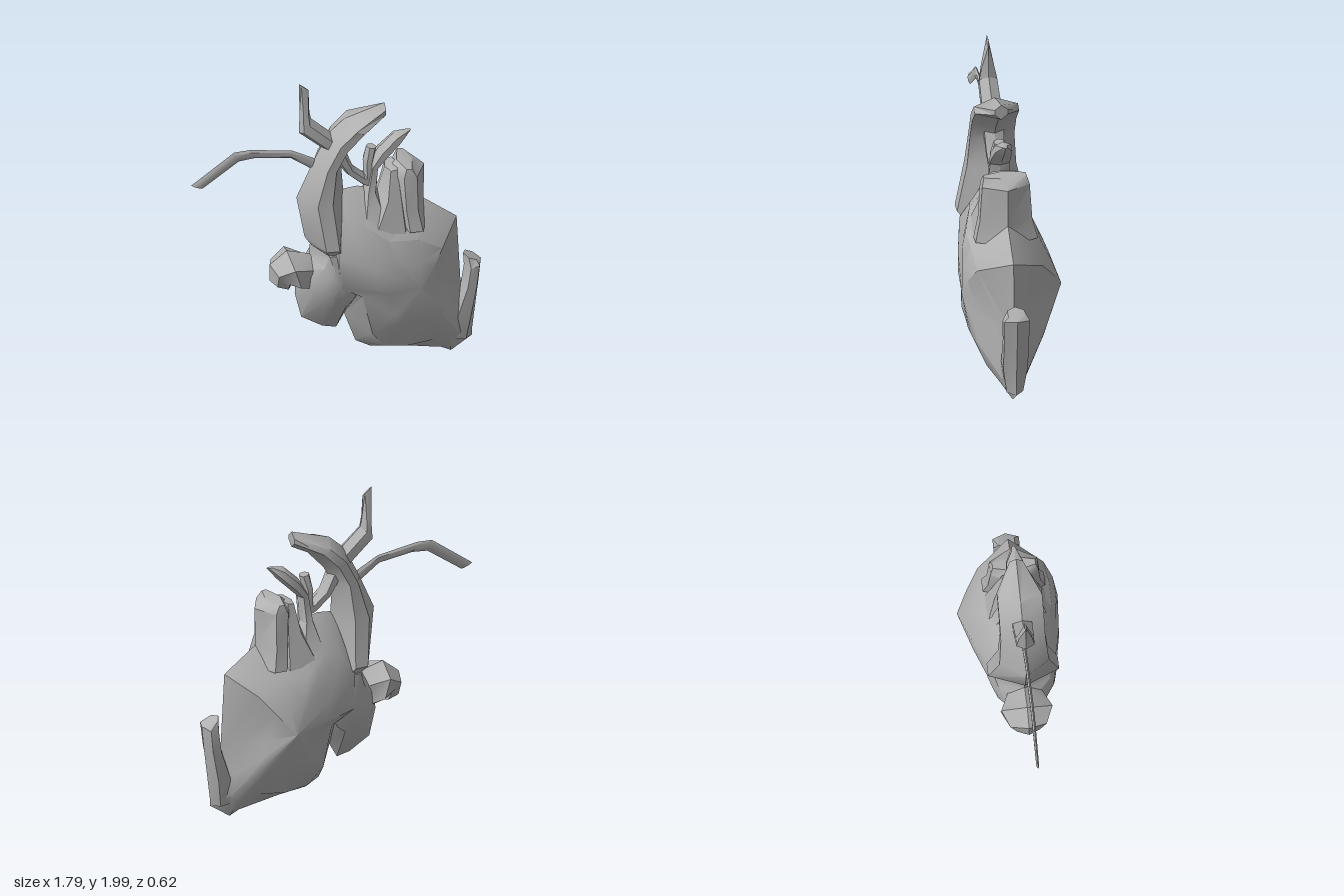
import * as THREE from 'three';
import { toCreasedNormals } from 'three/addons/utils/BufferGeometryUtils.js';

const grey = new THREE.MeshStandardMaterial({ color: 0xb0b0b0 });
grey.name = 'grey';

// Closed mesh from points and triangles, turned to face outwards
function solid(name, pts, tris, crease) {
  let volume = 0;
  const v = pts.map(p => new THREE.Vector3(...p));
  for (const [a, b, c] of tris) volume += v[a].dot(v[b].clone().cross(v[c]));
  const index = tris.flatMap(([a, b, c]) => (volume < 0 ? [a, c, b] : [a, b, c]));
  const geo = new THREE.BufferGeometry();
  geo.setAttribute('position', new THREE.Float32BufferAttribute(pts.flat(), 3));
  geo.setIndex(index);
  const mesh = new THREE.Mesh(toCreasedNormals(geo, crease), grey);
  mesh.name = name;
  return mesh;
}

// Two-sided bulge: each row is rim x, y then shoulder x, y, depth.
// A dome ring between shoulder and peak rounds each side.
function bulge(name, rows, frontPeak, backPeak) {
  const n = rows.length, tris = [];
  const mix = THREE.MathUtils.lerp;
  const pts = rows.map(r => [r[0], r[1], 0]);
  for (const [peak, side, ease] of [[frontPeak, 1, 0.67], [backPeak, -1, 0.5]]) {
    const s = pts.length;
    pts.push(...rows.map(r => [r[2], r[3], r[4] * side]));
    pts.push(...rows.map(r => [
      mix(r[2], peak[0], 0.45), mix(r[3], peak[1], 0.45), mix(r[4] * side, peak[2], ease)]));
    pts.push(peak);
    for (let i = 0; i < n; i++) {
      const j = (i + 1) % n;
      const strip = [
        [i, j, s + j], [i, s + j, s + i],
        [s + i, s + j, s + n + j], [s + i, s + n + j, s + n + i],
        [s + n + i, s + n + j, s + 2 * n],
      ];
      tris.push(...strip.map(([a, b, c]) => (side > 0 ? [a, b, c] : [a, c, b])));
    }
  }
  return solid(name, pts, tris, 0.6);
}

// Six-sided vessel: each row is one edge x, y, the other edge x, y, then half depth
function vessel(name, rows, inset = 0.25) {
  const section = [[0, 0], [inset, 1], [1 - inset, 1], [1, 0], [1 - inset, -1], [inset, -1]];
  const pts = rows.flatMap(([ax, ay, bx, by, d]) =>
    section.map(([t, s]) => [ax + (bx - ax) * t, ay + (by - ay) * t, s * d]));
  const tris = [];
  for (let k = 0; k < rows.length - 1; k++) {
    for (let i = 0; i < 6; i++) {
      const a = k * 6 + i, b = k * 6 + (i + 1) % 6;
      tris.push([a, b, b + 6], [a, b + 6, a + 6]);
    }
  }
  const e = (rows.length - 1) * 6;
  for (let i = 1; i < 5; i++) tris.push([0, i + 1, i], [e, e + i, e + i + 1]);
  return solid(name, pts, tris, 0.55);
}

export function createModel() {
  const heart = new THREE.Group();
  heart.name = 'heart';

  // Large lower chamber with its upper shoulder
  heart.add(bulge('ventricles', [
    [0.05, 0.36, 0.12, 0.57, 0.19],
    [0.12, 0.16, 0.18, 0.31, 0.195],
    [0.21, 0.11, 0.26, 0.18, 0.135],
    [0.38, 0.09, 0.40, 0.16, 0.135],
    [0.65, 0.04, 0.57, 0.18, 0.135],
    [0.71, 0.01, 0.68, 0.13, 0.08],
    [0.84, 0.10, 0.74, 0.17, 0.07],
    [0.84, 0.27, 0.71, 0.32, 0.09],
    [0.77, 0.47, 0.67, 0.51, 0.075],
    [0.745, 0.945, 0.61, 0.85, 0.20],
    [0.54, 1.10, 0.46, 0.94, 0.215],
    [0.28, 1.20, 0.28, 0.95, 0.215],
    [0.13, 1.24, 0.15, 1.04, 0.17],
    [0.03, 1.23, 0.05, 1.02, 0.15],
    [-0.10, 0.93, -0.03, 0.88, 0.20],
    [-0.10, 0.62, -0.02, 0.66, 0.205],
  ], [0.47, 0.63, 0.27], [0.42, 0.62, -0.345]));

  // Smaller side chamber
  heart.add(bulge('atrium', [
    [0.06, 0.38, 0.07, 0.54, 0.16],
    [0.00, 0.27, 0.02, 0.50, 0.165],
    [-0.085, 0.29, -0.05, 0.50, 0.165],
    [-0.215, 0.37, -0.11, 0.53, 0.155],
    [-0.255, 0.54, -0.17, 0.61, 0.13],
    [-0.25, 0.70, -0.17, 0.70, 0.13],
    [-0.165, 0.80, -0.11, 0.78, 0.16],
    [-0.16, 0.93, -0.08, 0.87, 0.18],
    [0.06, 0.94, 0.04, 0.87, 0.18],
    [0.17, 0.60, 0.11, 0.62, 0.17],
  ], [-0.02, 0.68, 0.21], [-0.02, 0.68, -0.21]));

  // Stub bending down from the side chamber
  heart.add(vessel('sideStub', [
    [-0.14, 0.80, -0.20, 0.56, 0.10],
    [-0.305, 0.845, -0.23, 0.60, 0.155],
    [-0.41, 0.76, -0.28, 0.64, 0.11],
    [-0.41, 0.65, -0.275, 0.60, 0.07],
  ]));

  // Main arching artery
  heart.add(vessel('aorta', [
    [-0.155, 0.865, 0.08, 0.85, 0.16],
    [-0.195, 0.93, 0.06, 0.92, 0.215],
    [-0.245, 1.21, 0.045, 1.21, 0.15],
    [-0.14, 1.45, 0.03, 1.42, 0.135],
    [-0.05, 1.63, 0.09, 1.53, 0.135],
    [0.05, 1.72, 0.195, 1.645, 0.135],
    [0.30, 1.80, 0.30, 1.70, 0.04],
  ], 0.34));

  // Upright branch of the artery
  heart.add(vessel('upperBranch', [
    [-0.08, 1.53, 0.02, 1.59, 0.06],
    [-0.23, 1.66, -0.155, 1.75, 0.055],
    [-0.225, 1.80, -0.165, 1.80, 0.04],
    [-0.23, 2.00, -0.17, 1.95, 0.005],
  ]));

  // Long thin flat branch
  heart.add(vessel('longBranch', [
    [-0.10, 1.45, -0.10, 1.36, 0.01],
    [-0.27, 1.54, -0.28, 1.49, 0.01],
    [-0.53, 1.58, -0.50, 1.52, 0.01],
    [-0.63, 1.575, -0.60, 1.51, 0.01],
    [-0.895, 1.38, -0.825, 1.35, 0.008],
  ]));

  // Thin vessels between the artery and the trunk
  heart.add(vessel('linkVessel', [
    [0.00, 1.43, 0.05, 1.52, 0.06],
    [0.06, 1.34, 0.10, 1.39, 0.055],
    [0.16, 1.25, 0.17, 1.33, 0.05],
    [0.23, 1.22, 0.23, 1.33, 0.05],
  ]));
  heart.add(vessel('slantedBranch', [
    [0.09, 1.05, 0.34, 1.05, 0.15],
    [0.165, 1.21, 0.25, 1.21, 0.065],
    [0.20, 1.39, 0.26, 1.37, 0.06],
    [0.26, 1.49, 0.31, 1.42, 0.06],
    [0.355, 1.58, 0.40, 1.51, 0.05],
    [0.42, 1.59, 0.465, 1.59, 0.012],
  ]));
  heart.add(vessel('shortBranch', [
    [0.17, 1.30, 0.22, 1.30, 0.05],
    [0.165, 1.42, 0.225, 1.40, 0.05],
    [0.185, 1.51, 0.25, 1.50, 0.03],
  ]));

  // Wide trunk on top, with its folded flank
  heart.add(vessel('upperTrunk', [
    [0.34, 0.98, 0.57, 0.98, 0.19],
    [0.33, 1.12, 0.54, 1.10, 0.16],
    [0.31, 1.33, 0.545, 1.34, 0.145],
    [0.375, 1.39, 0.47, 1.385, 0.13],
  ], 0.33));
  heart.add(vessel('trunkFlank', [
    [0.12, 1.00, 0.48, 0.96, 0.18],
    [0.25, 1.19, 0.42, 1.14, 0.13],
    [0.30, 1.355, 0.38, 1.37, 0.08],
  ]));

  // Vein along the outer edge, merging into the lower tip
  heart.add(vessel('outerVein', [
    [0.66, 0.12, 0.835, 0.10, 0.05],
    [0.70, 0.30, 0.855, 0.27, 0.075],
    [0.77, 0.47, 0.88, 0.48, 0.075],
    [0.79, 0.60, 0.895, 0.63, 0.08],
    [0.785, 0.68, 0.88, 0.64, 0.05],
  ]));

  // The mid-plane sits slightly in front of the centre
  heart.position.z = 0.035;
  const model = new THREE.Group();
  model.add(heart);
  return model;
}
